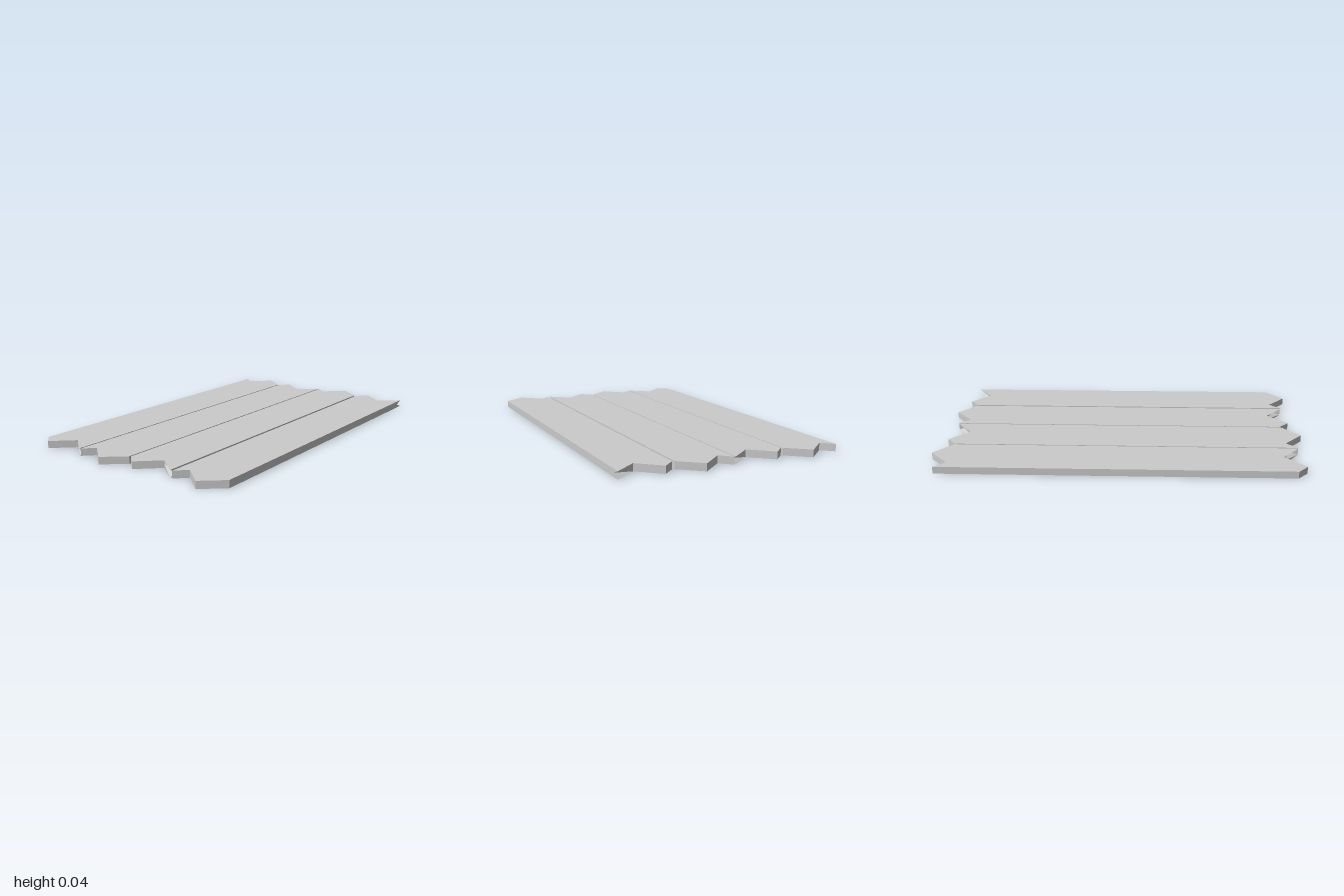
import * as THREE from 'three';

const WIDTH = 0.286, THICK = 0.038;
// jagged ends of a plank: [x across the plank, distance from the middle]
const PEAKED_END = [[0, 0.953], [0.058, 0.897], [0.172, 1], [WIDTH, 0.907]];
const FORKED_END = [[0, 0.903], [0.058, 0.958], [0.172, 0.857], [WIDTH, 0.952]];

// One sawn plank; dir = 1 puts the peaked end at the back, -1 at the front
function plankGeometry(dir) {
  const outline = [
    ...PEAKED_END.map(([x, d]) => new THREE.Vector2(x, dir * d)),
    ...FORKED_END.map(([x, d]) => new THREE.Vector2(x, -dir * d)).reverse(),
  ];
  const geo = new THREE.ExtrudeGeometry(new THREE.Shape(outline), {
    depth: THICK, steps: 2, bevelEnabled: false,
  });

  // split the sharp corner by pushing its mid-height point inward
  const [tipX, tipD] = FORKED_END[3];
  const p = geo.attributes.position;
  for (let i = 0; i < p.count; i++) {
    const atMid = Math.abs(p.getZ(i) - THICK / 2) < 1e-4;
    const atTip = Math.abs(p.getX(i) - tipX) < 1e-4 && Math.abs(p.getY(i) + dir * tipD) < 1e-4;
    if (atMid && atTip) p.setY(i, -dir * 0.905);
  }
  geo.rotateX(-Math.PI / 2);
  geo.computeVertexNormals();
  return geo;
}

export function createModel() {
  const group = new THREE.Group();
  group.name = 'plankFloor';
  const material = new THREE.MeshStandardMaterial({ color: 0xcccccc, flatShading: true });

  // four planks side by side, alternately turned end for end
  [-0.587, -0.293, 0.001, 0.301].forEach((x, i) => {
    const plank = new THREE.Mesh(plankGeometry(i % 2 ? -1 : 1), material);
    plank.name = `plank${i + 1}`;
    plank.position.x = x;
    group.add(plank);
  });
  return group;
}
